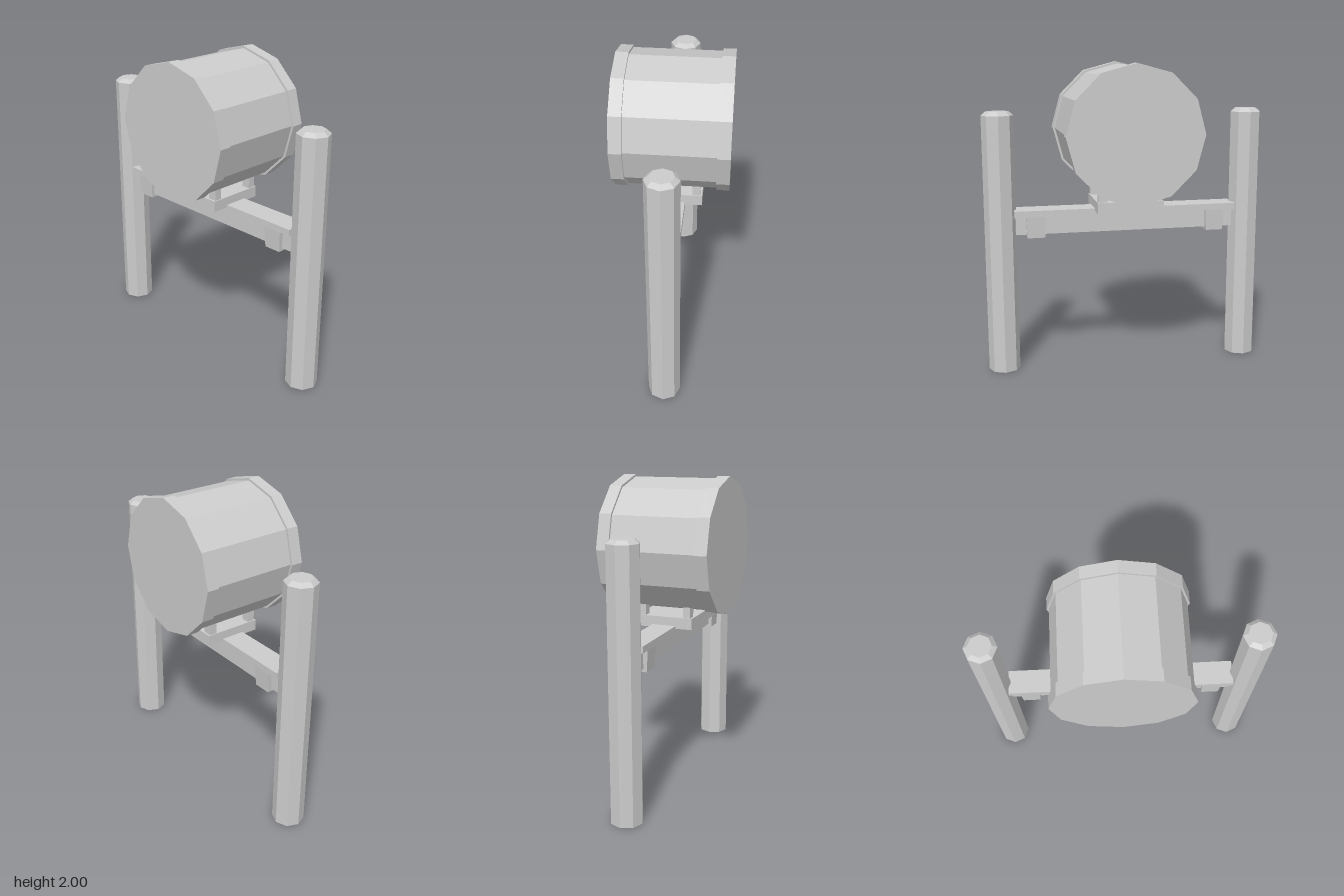
import * as THREE from 'three';

const material = new THREE.MeshStandardMaterial({ color: 0xcccccc, flatShading: true });

export function createModel() {
  const model = new THREE.Group();
  model.name = 'drumOnStand';

  const add = (name, geometry, x, y, z) => {
    const mesh = new THREE.Mesh(geometry, material);
    mesh.name = name;
    mesh.position.set(x, y, z);
    model.add(mesh);
    return mesh;
  };
  const box = (name, w, h, d, x, y, z) => add(name, new THREE.BoxGeometry(w, h, d), x, y, z);

  // Drum: twelve-sided shell lying along z with a wider rim at each end
  const drumY = 1.5625;
  const drumPart = (name, radius, length, z) =>
    add(name, new THREE.CylinderGeometry(radius, radius, length, 12).rotateX(Math.PI / 2), 0, drumY, z);
  drumPart('drumShell', 0.423, 0.6, 0);

  // Crossbeam with a wider plank on top
  box('crossbeam', 1.45, 0.12, 0.09, 0, 0.97, 0);
  box('plank', 1.47, 0.042, 0.157, 0, 1.049, 0);

  // Cradle slab under the drum
  box('cradleSlab', 0.43, 0.072, 0.376, 0, 1.089, 0);

  // Bracket: a block that narrows slightly downwards
  const bracketGeometry = new THREE.BoxGeometry(0.126, 0.14, 0.15);
  const p = bracketGeometry.attributes.position;
  for (let i = 0; i < p.count; i++) {
    if (p.getY(i) < 0) {
      p.setX(i, p.getX(i) * 0.9);
      p.setZ(i, p.getZ(i) * 0.9);
    }
  }
  bracketGeometry.computeVertexNormals();

  for (const side of [-1, 1]) {
    const label = side > 0 ? 'left' : 'right';
    drumPart(side > 0 ? 'frontRim' : 'backRim', 0.4375, 0.08, side * 0.318);

    // Octagonal post with a chamfered top
    add(label + 'Post', new THREE.CylinderGeometry(0.102, 0.102, 1.675, 8, 1, false), side * 0.82, 0.8375, 0);
    add(label + 'PostCap', new THREE.CylinderGeometry(0.073, 0.102, 0.024, 8), side * 0.82, 1.687, 0);

    add(label + 'Bracket', bracketGeometry, side * 0.597, 0.96, 0);

    // Pegs holding the drum
    for (const z of [-0.151, 0.151]) {
      box(label + 'Peg', 0.058, 0.09, 0.048, side * 0.18, 1.152, z);
    }
  }
  return model;
}
